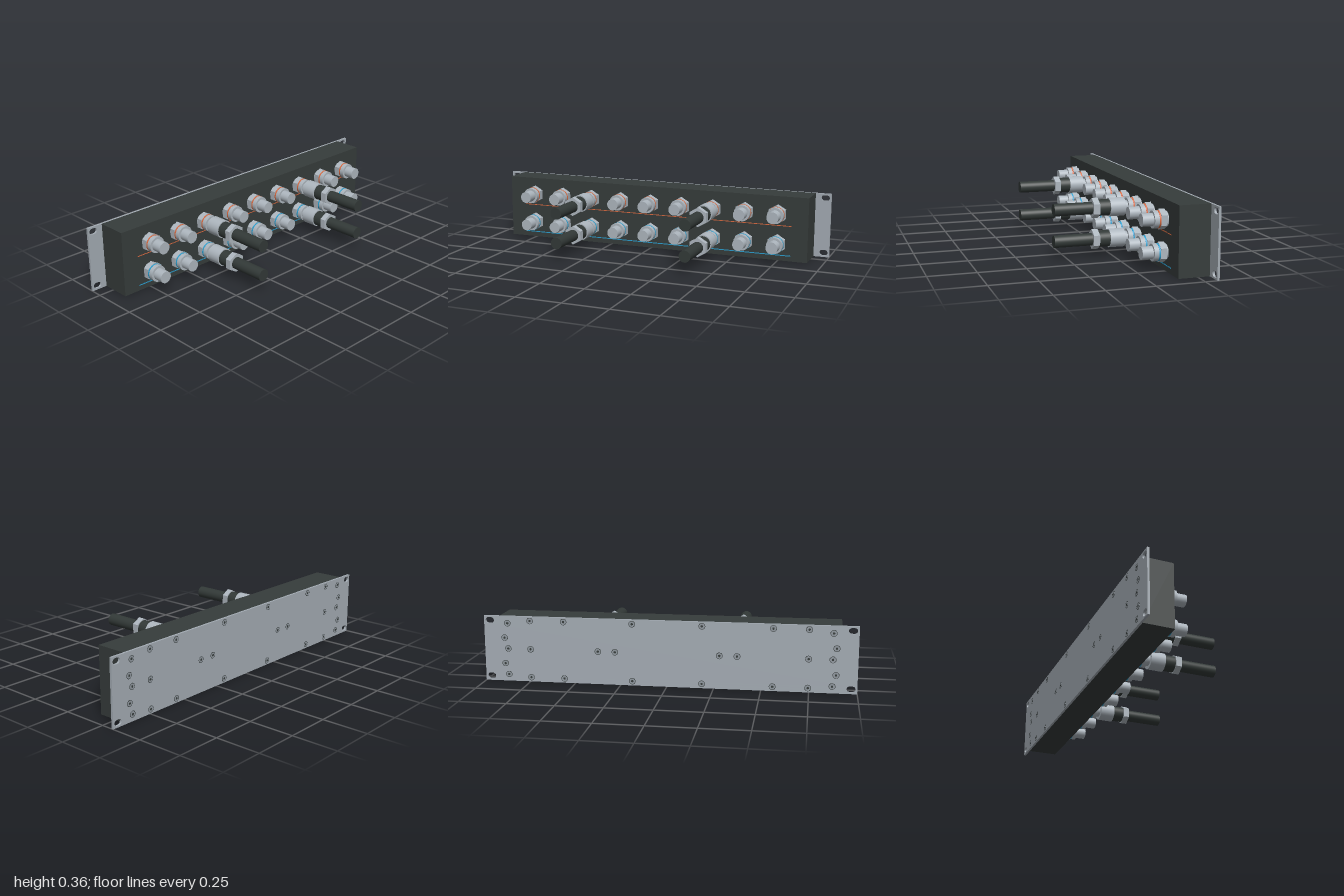
import * as THREE from 'three';

const mat = (name, color) => {
  const m = new THREE.MeshStandardMaterial({ color });
  m.name = name;
  return m;
};

export function createModel() {
  const housingDark = mat('dark housing', 0x363c3b);
  const cableDark = mat('dark cable', 0x323937);
  const plateGrey = mat('plate grey', 0xa3abb3);
  const steel = mat('connector steel', 0xadb6be);
  const screwSteel = mat('screw steel', 0x8f979e);
  const orange = mat('orange marking', 0xd9693f);
  const blue = mat('blue marking', 0x2a9fd0);

  const root = new THREE.Group();
  root.name = 'connectorPanel';

  const add = (parent, name, geometry, material, x = 0, y = 0, z = 0) => {
    const mesh = new THREE.Mesh(geometry, material);
    mesh.name = name;
    mesh.position.set(x, y, z);
    parent.add(mesh);
    return mesh;
  };

  // cylinder lying along z from z0 to z1; six sides gives a flat-faced hex nut
  const rod = (r, z0, z1, sides = 32) => {
    let g = new THREE.CylinderGeometry(r, r, z1 - z0, sides);
    g.rotateX(Math.PI / 2);
    g.translate(0, 0, (z0 + z1) / 2);
    if (sides === 6) {
      g = g.toNonIndexed();
      g.computeVertexNormals();
    }
    return g;
  };

  // mounting plate with four rounded slots
  const H = 0.36;
  const outline = new THREE.Shape();
  outline.moveTo(-1, 0).lineTo(1, 0).lineTo(1, H).lineTo(-1, H).closePath();
  for (const x of [-0.968, 0.968]) {
    for (const y of [0.025, H - 0.025]) {
      const slot = new THREE.Path();
      slot.absarc(x + 0.007, y, 0.016, -Math.PI / 2, Math.PI / 2, false);
      slot.absarc(x - 0.007, y, 0.016, Math.PI / 2, Math.PI * 1.5, false);
      slot.closePath();
      outline.holes.push(slot);
    }
  }
  add(root, 'mountingPlate',
    new THREE.ExtrudeGeometry(outline, { depth: 0.012, bevelEnabled: false, curveSegments: 10 }),
    plateGrey, 0, 0, -0.324);

  // housing
  add(root, 'housing', new THREE.BoxGeometry(1.826, H, 0.165), housingDark, 0, H / 2, -0.2295);

  // marking lines below each row
  add(root, 'upperLine', new THREE.BoxGeometry(1.64, 0.004, 0.002), orange, 0, 0.197, -0.1465);
  add(root, 'lowerLine', new THREE.BoxGeometry(1.64, 0.005, 0.002), blue, 0, 0.03, -0.1465);

  // sockets and plugged cables, each profile shared by all ports
  const portParts = [
    ['flange', rod(0.041, -0.148, -0.137), steel],
    ['portNut', rod(0.052, -0.138, -0.106, 6), steel],
    ['codingRing', rod(0.0455, -0.106, -0.098), null],
    ['collar', rod(0.0445, -0.098, -0.073), steel],
    ['plug', rod(0.0325, -0.073, -0.015), steel],
  ];
  const cableParts = [
    ['couplingBarrel', rod(0.049, -0.055, 0.027), steel],
    ['gland', rod(0.043, 0.027, 0.086), cableDark],
    ['cableNut', rod(0.0535, 0.086, 0.119, 6), steel],
    ['cable', rod(0.0325, 0.119, 0.325), cableDark],
  ];
  for (const [y, code] of [[0.264, orange], [0.098, blue]]) {
    for (let i = -4; i <= 4; i++) {
      const port = new THREE.Group();
      port.name = 'port';
      port.position.set(i * 0.1865, y, 0);
      const parts = Math.abs(i) === 2 ? [...portParts, ...cableParts] : portParts;
      for (const [name, g, m] of parts) add(port, name, g, m ?? code);
      root.add(port);
    }
  }

  // countersunk screws on the back, mirrored left to right
  const places = [
    [0.87, 0.32], [0.888, 0.24], [0.87, 0.18], [0.888, 0.098], [0.87, 0.037],
    [0.745, 0.336], [0.745, 0.18], [0.745, 0.024],
    [0.56, 0.336], [0.56, 0.024], [0.187, 0.336], [0.187, 0.024],
    [0.373, 0.18], [0.28, 0.18],
  ];
  const rim = rod(0.018, -0.3246, -0.323, 20);
  const head = rod(0.0155, -0.325, -0.323, 20);
  const socket = rod(0.007, -0.3254, -0.323, 6);
  for (const [px, y] of places) {
    for (const side of [-1, 1]) {
      const screw = new THREE.Group();
      screw.name = 'backScrew';
      screw.position.set(px * side, y, 0);
      add(screw, 'screwRim', rim, housingDark);
      add(screw, 'screwHead', head, screwSteel);
      add(screw, 'screwSocket', socket, housingDark);
      root.add(screw);
    }
  }
  return root;
}
